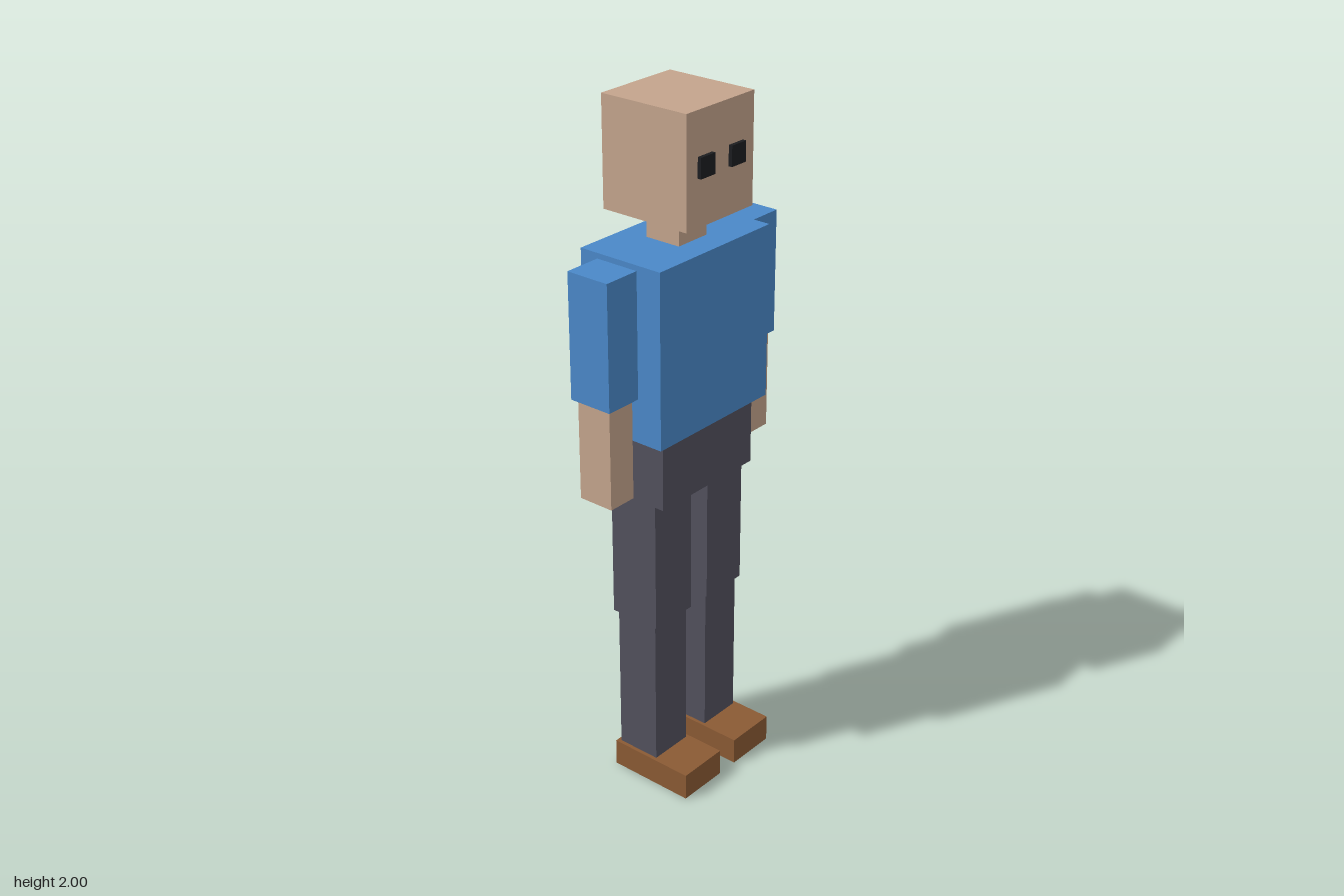
import * as THREE from 'three';

const material = (name, color) => {
  const m = new THREE.MeshStandardMaterial({ color });
  m.name = name;
  return m;
};

export function createModel() {
  const skin = material('skin', 0xc4a48c);
  const shirt = material('blue shirt', 0x4a88c8);
  const trousers = material('grey trousers', 0x52515d);
  const leather = material('brown leather', 0x8a5a34);
  const dark = material('dark eye', 0x1c1d20);

  const model = new THREE.Group();
  model.name = 'blockFigure';

  // A box given by its lower and upper limit on each axis
  const block = (name, mat, [x0, x1], [y0, y1], [z0, z1]) => {
    const mesh = new THREE.Mesh(new THREE.BoxGeometry(x1 - x0, y1 - y0, z1 - z0), mat);
    mesh.position.set((x0 + x1) / 2, (y0 + y1) / 2, (z0 + z1) / 2);
    mesh.name = name;
    model.add(mesh);
  };

  // A mirrored pair of boxes; the left one is on +x
  const pair = (name, mat, [x0, x1], y, z) => {
    block('left' + name, mat, [x0, x1], y, z);
    block('right' + name, mat, [-x1, -x0], y, z);
  };

  // Head and body
  block('head', skin, [-0.133, 0.133], [1.694, 2], [-0.162, 0.115]);
  block('neck', skin, [-0.056, 0.056], [1.614, 1.694], [-0.083, 0.026]);
  block('torso', shirt, [-0.222, 0.222], [1.115, 1.614], [-0.162, 0.104]);
  block('hips', trousers, [-0.188, 0.188], [0.915, 1.115], [-0.137, 0.081]);

  // Eyes
  pair('Eye', dark, [0.033, 0.089], [1.825, 1.881], [0.115, 0.126]);

  // Arms
  pair('Sleeve', shirt, [0.232, 0.343], [1.248, 1.604], [-0.096, 0.036]);
  pair('Forearm', skin, [0.243, 0.331], [0.958, 1.248], [-0.083, 0.025]);

  // Legs
  pair('Thigh', trousers, [0.035, 0.186], [0.529, 0.915], [-0.105, 0.051]);
  pair('Shin', trousers, [0.043, 0.177], [0.08, 0.529], [-0.094, 0.04]);
  pair('Shoe', leather, [0.033, 0.188], [0, 0.08], [-0.105, 0.16]);

  return model;
}
